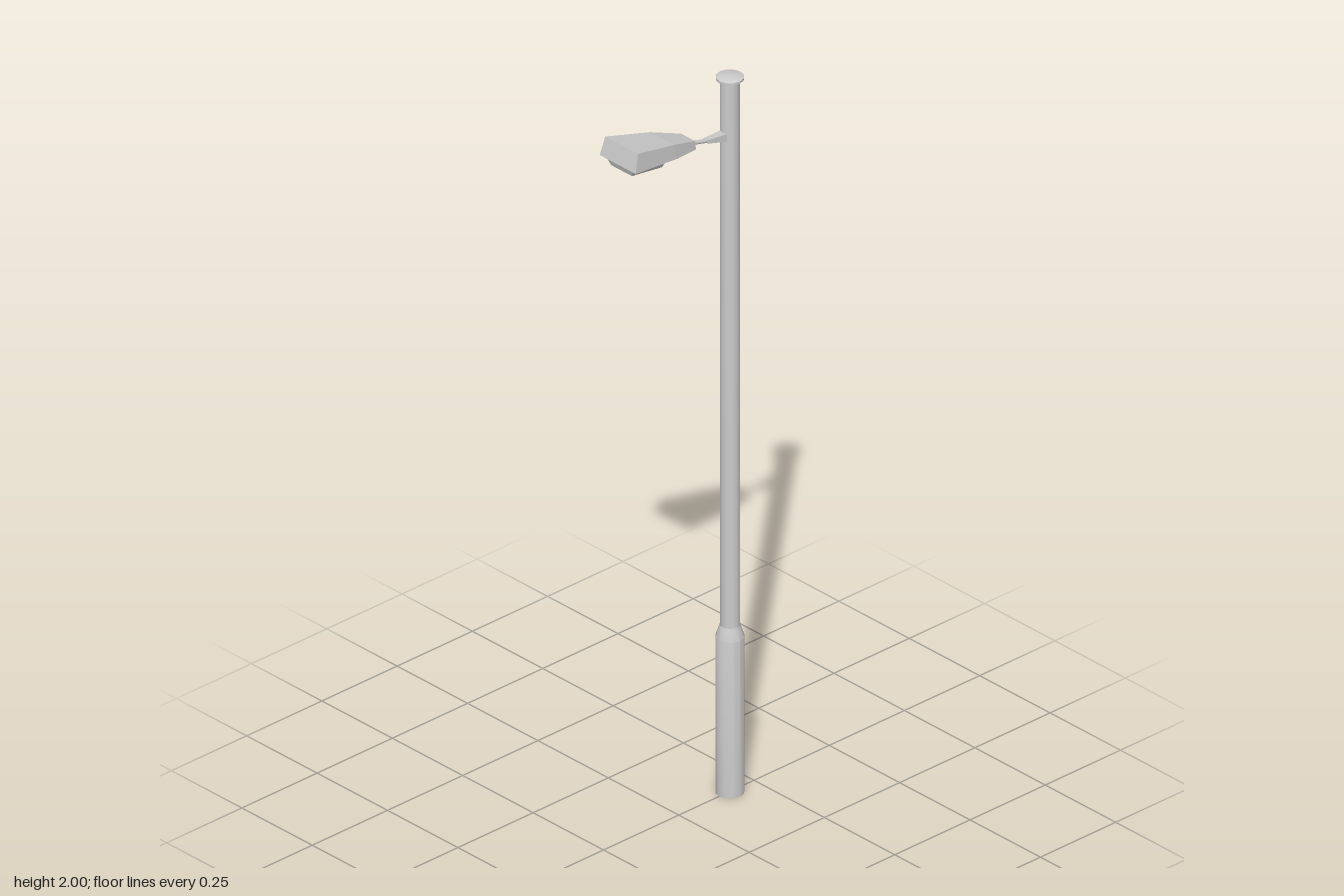
import * as THREE from 'three';
import { toCreasedNormals } from 'three/addons/utils/BufferGeometryUtils.js';

const material = new THREE.MeshStandardMaterial({ color: 0xcccccc });
const POLE_Z = -0.17;

// Twelve-sided turned part around the pole axis; profile is [radius, y] from bottom to top.
function turned(name, profile) {
  const geometry = new THREE.LatheGeometry(profile.map(([r, y]) => new THREE.Vector2(r, y)), 12);
  const mesh = new THREE.Mesh(toCreasedNormals(geometry, 0.6), material);
  mesh.name = name;
  mesh.position.z = POLE_Z;
  return mesh;
}

// Faceted skin over four-cornered sections listed from back to front.
// Each section: [top z, top y, top half width, bottom z, bottom y, bottom half width].
function loft(name, sections) {
  const positions = [];
  const index = [];
  for (const [zt, yt, wt, zb, yb, wb] of sections) {
    positions.push(-wb, yb, zb, wb, yb, zb, wt, yt, zt, -wt, yt, zt);
  }
  const last = (sections.length - 1) * 4;
  for (let a = 0; a < last; a += 4) {
    for (let i = 0; i < 4; i++) {
      const j = (i + 1) % 4;
      index.push(a + i, a + j, a + 4 + j, a + i, a + 4 + j, a + 4 + i);
    }
  }
  index.push(0, 2, 1, 0, 3, 2);
  index.push(last, last + 1, last + 2, last, last + 2, last + 3);
  const geometry = new THREE.BufferGeometry();
  geometry.setAttribute('position', new THREE.Float32BufferAttribute(positions, 3));
  geometry.setIndex(index);
  const flat = geometry.toNonIndexed();
  flat.computeVertexNormals();
  const mesh = new THREE.Mesh(flat, material);
  mesh.name = name;
  return mesh;
}

export function createModel() {
  const model = new THREE.Group();
  model.name = 'streetLamp';

  // Pole: thick base sleeve, slim shaft and a thin bevelled cap
  model.add(turned('poleBase', [[0, 0], [0.036, 0], [0.036, 0.435], [0.025, 0.468]]));
  model.add(turned('poleShaft', [[0.025, 0.468], [0.025, 1.987]]));
  model.add(turned('poleCap', [[0.025, 1.985], [0.035, 1.991], [0.035, 1.997], [0.029, 2], [0, 2]]));

  // Bracket flaring towards the pole
  model.add(loft('armBracket', [
    [-0.155, 1.849, 0.013, -0.155, 1.827, 0.013],
    [-0.09, 1.853, 0.0075, -0.09, 1.843, 0.0075],
  ]));

  // Thin arm rising into the lamp head
  const from = new THREE.Vector3(0, 1.847, -0.095);
  const to = new THREE.Vector3(0, 1.866, -0.02);
  const armGeometry = new THREE.TubeGeometry(new THREE.LineCurve3(from, to), 1, 0.0055, 8);
  const arm = new THREE.Mesh(armGeometry, material);
  arm.name = 'arm';
  model.add(arm);

  // Lamp housing widening towards the front
  model.add(loft('lampHousing', [
    [-0.031, 1.881, 0.025, -0.033, 1.857, 0.026],
    [0.055, 1.911, 0.043, 0.05, 1.871, 0.046],
    [0.19, 1.945, 0.058, 0.203, 1.896, 0.064],
  ]));

  // Tapered lens under the housing
  model.add(loft('lampLens', [
    [0.075, 1.88, 0.042, 0.083, 1.854, 0.029],
    [0.198, 1.899, 0.05, 0.19, 1.874, 0.037],
  ]));

  return model;
}
